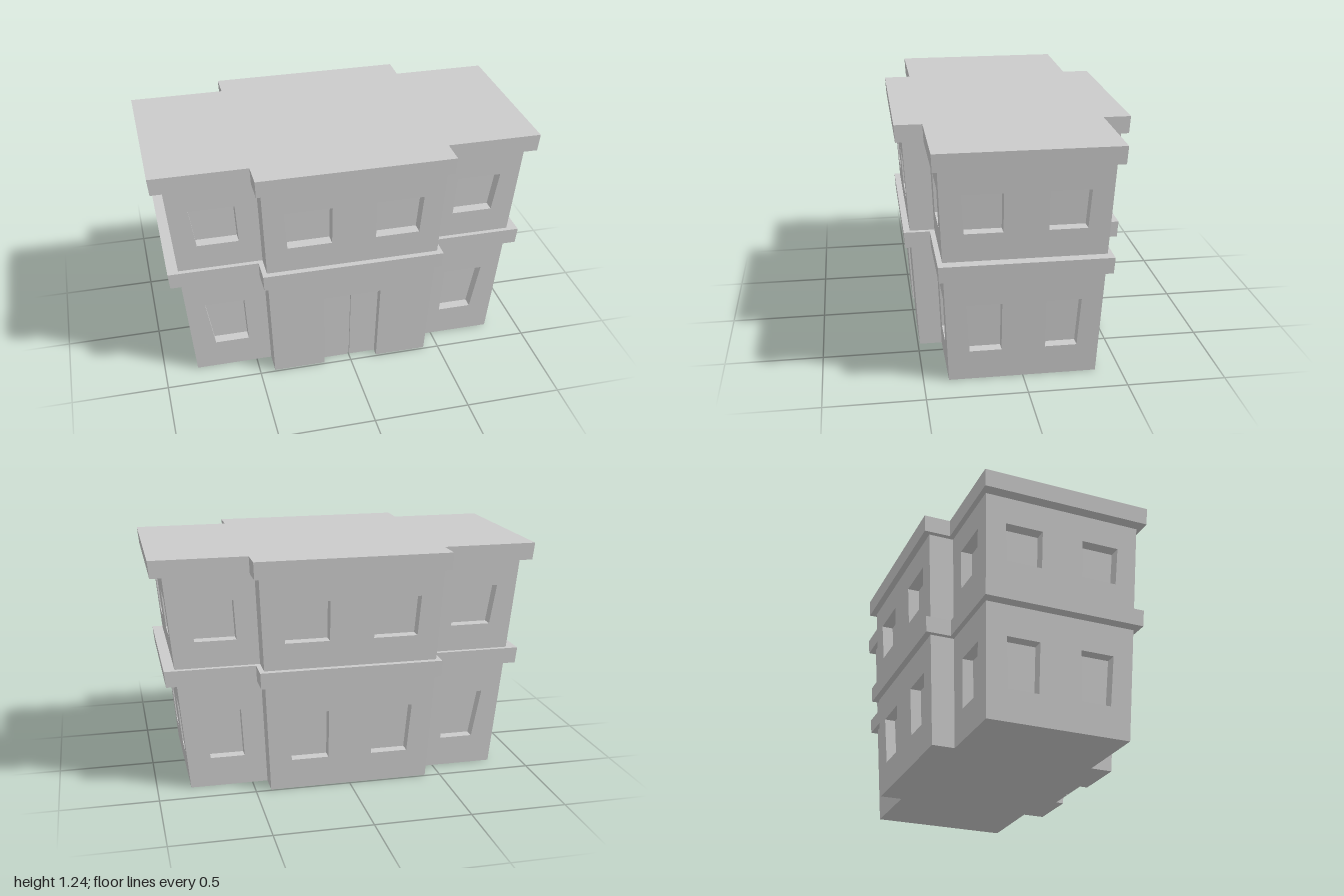
import * as THREE from 'three';

// Plan half-sizes at ground level: wings W x D_WING, projecting bay w x D_BAY
const W = 0.825, BAY = 0.42, D_BAY = 0.49, D_WING = 0.373;
const REVEAL = 0.055;
const FLARE = 0.1135; // the whole building widens with height
const scaleAt = (y) => 1 + FLARE * y;
const material = new THREE.MeshStandardMaterial({ color: 0xcccccc, flatShading: true });

function flare(geometry) {
  const p = geometry.attributes.position;
  for (let i = 0; i < p.count; i++) {
    const s = scaleAt(p.getY(i));
    p.setX(i, p.getX(i) * s);
    p.setZ(i, p.getZ(i) * s);
  }
  geometry.computeVertexNormals();
  return geometry;
}

function addMesh(group, name, geometry) {
  const mesh = new THREE.Mesh(flare(geometry), material);
  mesh.name = name;
  group.add(mesh);
}

// Cross-shaped slab, offset from the plan and rising from y0 to y1
function slab(offset, y0, y1) {
  const a = W + offset, b = BAY + offset * 0.45, c = D_BAY + offset * 0.57, d = D_WING + offset * 0.45;
  return crossPrism(a, b, c, d, y0, y1);
}

function crossPrism(a, b, c, d, y0, y1) {
  const corners = [[a, -d], [a, d], [b, d], [b, c], [-b, c], [-b, d],
    [-a, d], [-a, -d], [-b, -d], [-b, -c], [b, -c], [b, -d]];
  const shape = new THREE.Shape(corners.map(([x, z]) => new THREE.Vector2(x, z)));
  const g = new THREE.ExtrudeGeometry(shape, { depth: y1 - y0, bevelEnabled: false });
  return g.rotateX(-Math.PI / 2).translate(0, y0, 0);
}

// Window outline: inner/outer edges at the sill, then at the head
function windowHole([y0, y1, in0, out0, in1, out1], sign) {
  const pts = [[in0, y0], [out0, y0], [out1, y1], [in1, y1]];
  return new THREE.Path(pts.map(([x, y]) => new THREE.Vector2((sign * x) / scaleAt(y), y)));
}

// Wall with openings; inner corners are mitred (1 = outside corner, -1 = inside corner)
function wall({ u0, u1, y0, y1, dist, angle, m0 = 1, m1 = 1, holes = [], door = 0 }) {
  const outline = [[u0, y0]];
  if (door) outline.push([-door, y0], [-door, 0.45], [door, 0.45], [door, y0]);
  outline.push([u1, y0], [u1, y1], [u0, y1]);
  const shape = new THREE.Shape(outline.map(([x, y]) => new THREE.Vector2(x, y)));
  shape.holes = holes;
  const g = new THREE.ExtrudeGeometry(shape, { depth: REVEAL, bevelEnabled: false });
  const p = g.attributes.position;
  for (let i = 0; i < p.count; i++) {
    if (p.getZ(i) > REVEAL / 2) continue;
    const x = p.getX(i);
    if (Math.abs(x - u0) < 1e-5) p.setX(i, x + m0 * REVEAL);
    else if (Math.abs(x - u1) < 1e-5) p.setX(i, x - m1 * REVEAL);
  }
  return g.translate(0, 0, dist - REVEAL).rotateY(angle);
}

function storey(name, y0, y1, windows, hasDoor) {
  const group = new THREE.Group();
  group.name = name;
  const pair = (w) => [windowHole(w, 1), windowHole(w, -1)];

  // Recessed core forms the window panes and closes the storey
  addMesh(group, 'windowPanes', crossPrism(W - REVEAL, BAY - REVEAL, D_BAY - REVEAL, D_WING - REVEAL, y0, y1));

  // Front and back: central bay, two wings
  for (const [face, angle] of [['front', 0], ['back', Math.PI]]) {
    const door = hasDoor && face === 'front' ? 0.146 : 0;
    addMesh(group, face + 'BayWall', wall({
      u0: -BAY, u1: BAY, y0, y1, dist: D_BAY, angle, door, holes: door ? [] : pair(windows.bay),
    }));
    for (const sign of [1, -1]) {
      const span = sign > 0 ? { u0: BAY, u1: W, m0: -1 } : { u0: -W, u1: -BAY, m1: -1 };
      addMesh(group, face + 'WingWall', wall({
        ...span, y0, y1, dist: D_WING, angle, holes: [windowHole(windows.wing, sign)],
      }));
    }
  }

  // Sides: end walls and the short returns of the bay
  for (const [side, angle] of [['left', Math.PI / 2], ['right', -Math.PI / 2]]) {
    addMesh(group, side + 'EndWall', wall({
      u0: -D_WING, u1: D_WING, y0, y1, dist: W, angle, holes: pair(windows.end),
    }));
    for (const sign of [1, -1]) {
      const span = sign > 0 ? { u0: D_WING, u1: D_BAY, m0: -1 } : { u0: -D_BAY, u1: -D_WING, m1: -1 };
      addMesh(group, side + 'BayReturn', wall({ ...span, y0, y1, dist: BAY, angle }));
    }
  }
  return group;
}

export function createModel() {
  const model = new THREE.Group();
  model.name = 'building';

  // Window rows: [sill, head, inner and outer at sill, inner and outer at head]
  model.add(storey('groundFloor', 0, 0.58, {
    wing: [0.16, 0.42, 0.54, 0.718, 0.555, 0.763],
    bay: [0.16, 0.42, 0.115, 0.31, 0.115, 0.33],
    end: [0.16, 0.42, 0.11, 0.27, 0.11, 0.285],
  }, true));
  model.add(storey('upperFloor', 0.665, 1.15, {
    wing: [0.805, 1.015, 0.57, 0.783, 0.583, 0.815],
    bay: [0.805, 1.015, 0.115, 0.345, 0.115, 0.36],
    end: [0.81, 1.01, 0.11, 0.298, 0.11, 0.31],
  }, false));

  // Double door leaves with a narrow gap
  for (const sign of [1, -1]) {
    const leaf = new THREE.BoxGeometry(0.142, 0.45, 0.012);
    leaf.translate(sign * 0.075, 0.225, D_BAY - REVEAL + 0.006);
    addMesh(model, sign > 0 ? 'leftDoor' : 'rightDoor', leaf);
  }

  // Projecting string course and roof cornice
  addMesh(model, 'stringCourse', slab(0.052, 0.58, 0.665));
  addMesh(model, 'roofCornice', slab(0.052, 1.15, 1.24));
  return model;
}
